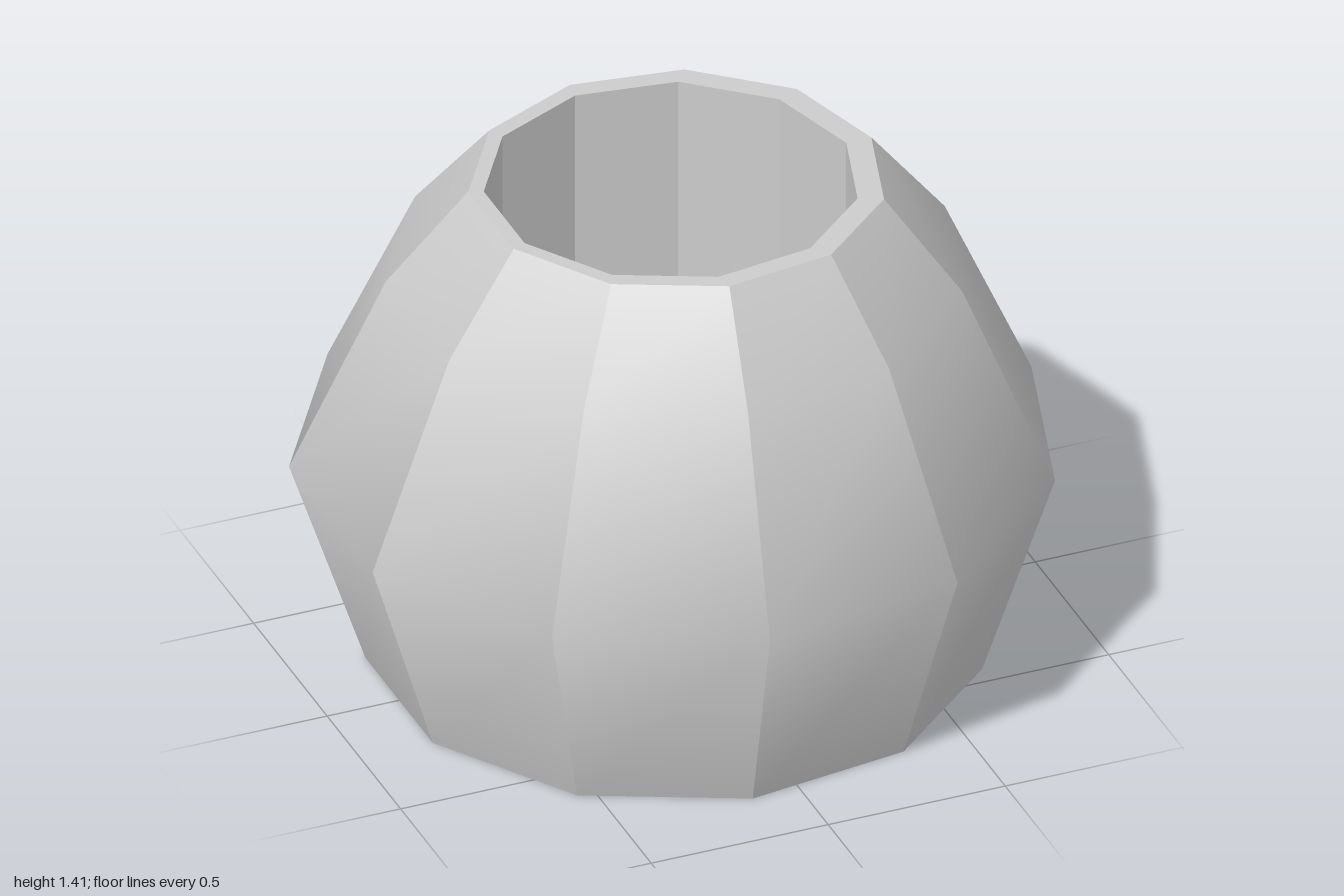
import * as THREE from 'three';

const SIDES = 11;

// Skins a profile of [radius, height, centreX] rings.
// Every side has its own vertices: smooth along the profile, sharp between sides.
function facetedSkin(name, profile) {
  const pos = [], idx = [];
  for (let s = 0; s < SIDES; s++) {
    const base = pos.length / 3;
    for (const [r, y, cx] of profile) {
      for (const k of [s, s + 1]) {
        const a = (k / SIDES) * Math.PI * 2;
        pos.push(cx + r * Math.cos(a), y, r * Math.sin(a));
      }
    }
    for (let j = 0; j < profile.length - 1; j++) {
      const p = base + j * 2;
      idx.push(p, p + 2, p + 1, p + 1, p + 2, p + 3);
    }
  }
  const geometry = new THREE.BufferGeometry();
  geometry.setAttribute('position', new THREE.Float32BufferAttribute(pos, 3));
  geometry.setIndex(idx);
  geometry.computeVertexNormals();
  const mesh = new THREE.Mesh(geometry, new THREE.MeshStandardMaterial({ color: 0xcccccc }));
  mesh.name = name;
  return mesh;
}

export function createModel() {
  const group = new THREE.Group();
  group.name = 'pot';

  // An odd number of sides sits slightly off centre, in proportion to its radius
  const ring = (r, y) => [r, y, -0.0203 * r];
  const foot = ring(0.813, 0);
  const rim = ring(0.548, 1.41);
  const mouth = [0.493, 1.41, -0.027];
  const floor = [0.493, 0.12, -0.027];

  group.add(
    facetedSkin('base', [ring(0, 0), foot]),
    facetedSkin('outerWall', [foot, ring(1.01, 0.6), ring(0.76, 1.15), rim]),
    facetedSkin('lip', [rim, mouth]),
    facetedSkin('innerWall', [mouth, floor]),
    facetedSkin('innerFloor', [floor, [0, 0.12, -0.027]])
  );
  return group;
}
